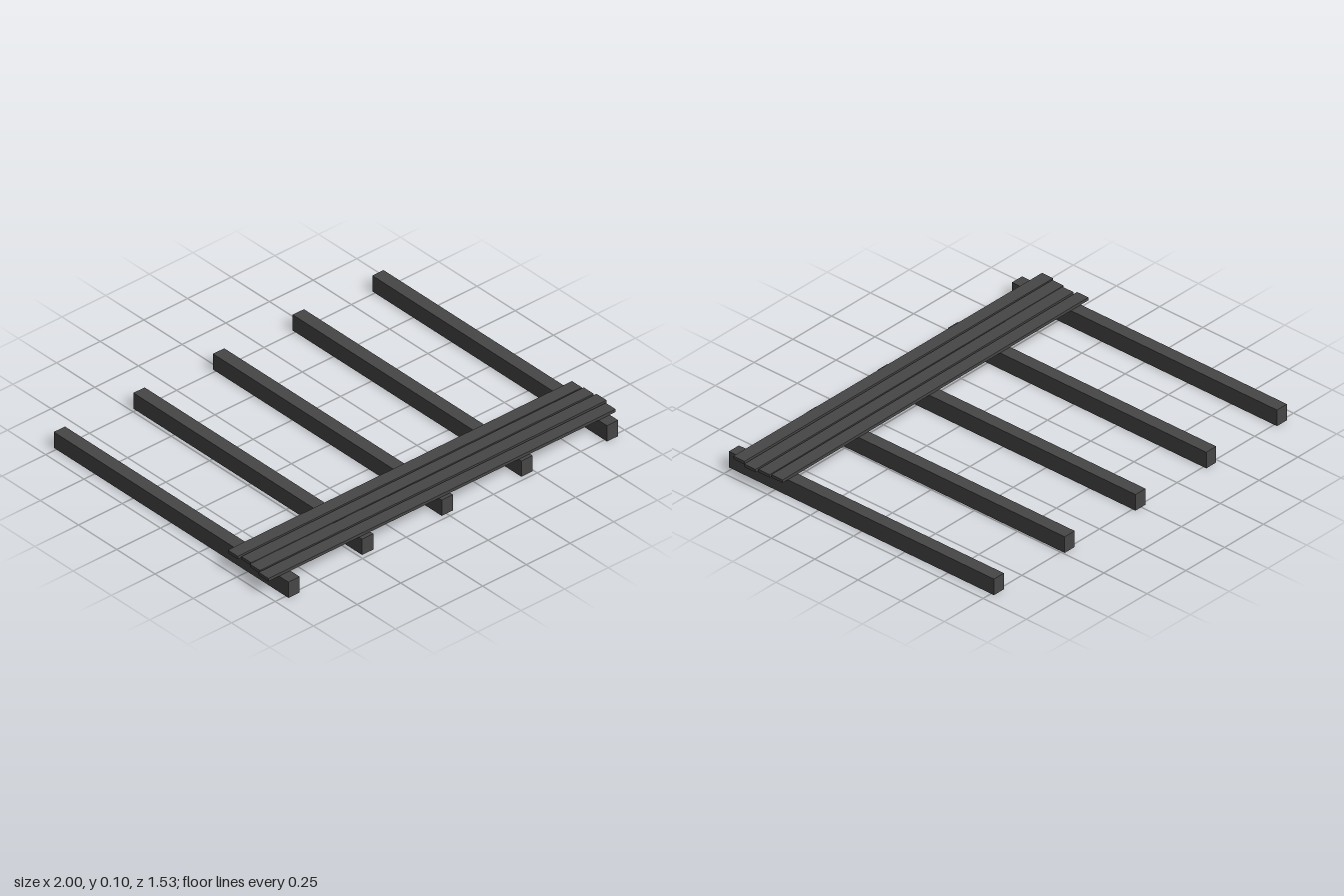
import * as THREE from 'three';

export function createModel() {
  const model = new THREE.Group();
  const darkTimber = new THREE.MeshStandardMaterial({ color: 0x464646 });
  darkTimber.name = 'dark timber';

  // Box given by its extents on each axis
  function board(name, [x0, x1], [y0, y1], [z0, z1], yaw = 0) {
    const mesh = new THREE.Mesh(new THREE.BoxGeometry(x1 - x0, y1 - y0, z1 - z0), darkTimber);
    mesh.name = name;
    mesh.position.set((x0 + x1) / 2, (y0 + y1) / 2, (z0 + z1) / 2);
    mesh.rotation.y = yaw;
    model.add(mesh);
  }

  // Five joists; the outer two reach further forward
  const joistTop = 0.082;
  for (let i = 0; i < 5; i++) {
    const x = 0.005 + (i - 2) * 0.456;
    const front = i === 0 || i === 4 ? 0.767 : 0.728;
    board('joist' + (i + 1), [x - 0.032, x + 0.032], [0, joistTop], [-0.767, front]);
  }

  // Four deck planks, slightly uneven in length and angle
  const planks = [
    { x: [-0.987, 0.983], z: [0.426, 0.491], yaw: 0 },
    { x: [-0.976, 0.989], z: [0.499, 0.563], yaw: 0.003 },
    { x: [-0.987, 0.998], z: [0.569, 0.635], yaw: 0 },
    { x: [-1.0, 0.982], z: [0.645, 0.709], yaw: -0.003 },
  ];
  planks.forEach((p, i) => board('deckPlank' + (i + 1), p.x, [joistTop, 0.097], p.z, p.yaw));

  return model;
}
